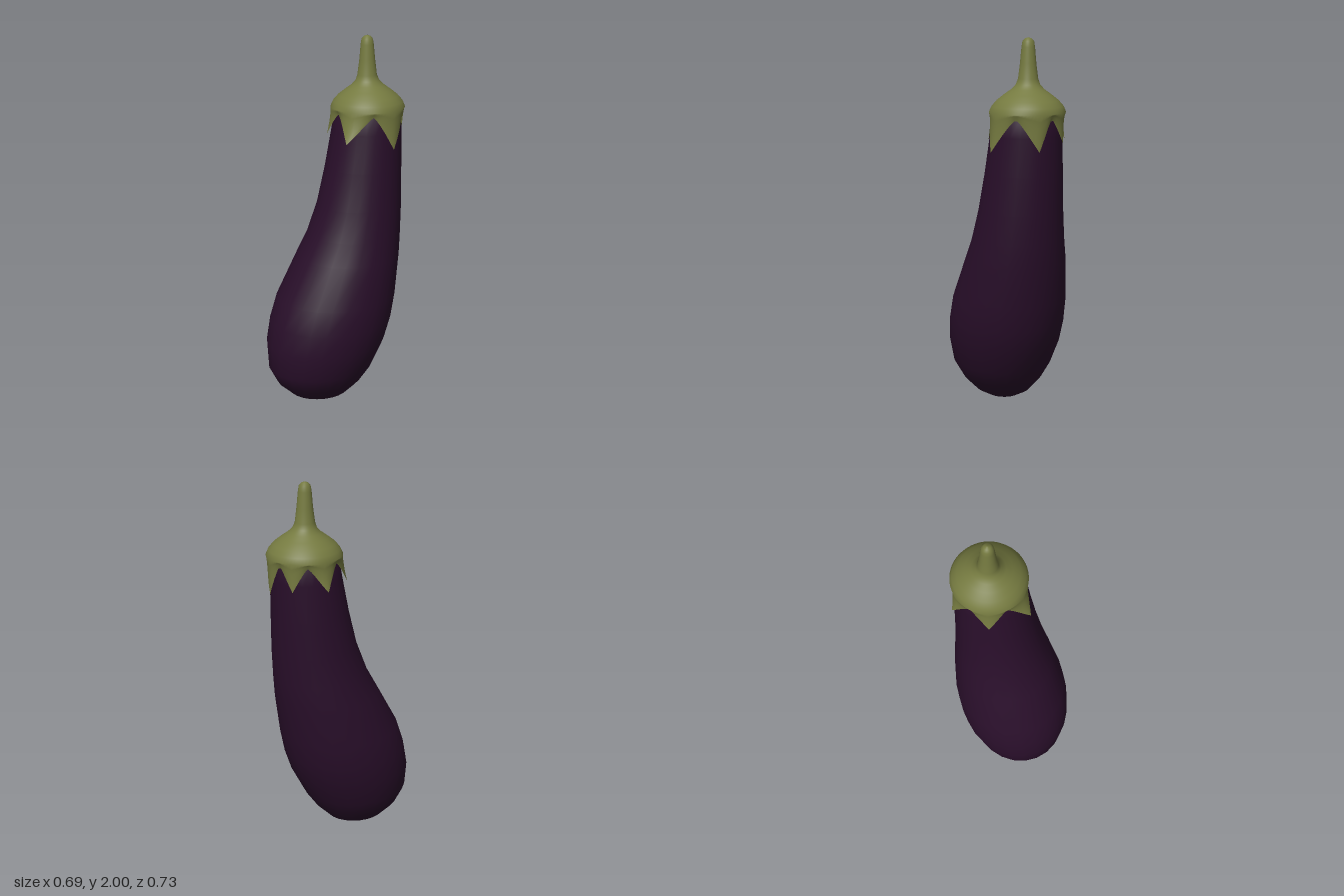
import * as THREE from 'three';

// Fruit sections: [height, centre x, centre z, radius]
const SECTIONS = [
  [0.003, -0.05, 0.065, 0.001], [0.02, -0.055, 0.068, 0.09], [0.05, -0.065, 0.075, 0.155],
  [0.12, -0.065, 0.08, 0.225], [0.21, -0.057, 0.077, 0.278], [0.35, -0.035, 0.052, 0.315],
  [0.47, -0.014, 0.028, 0.324], [0.6, 0.009, 0, 0.317], [0.82, 0.058, -0.06, 0.277],
  [0.94, 0.084, -0.088, 0.251], [1.1, 0.107, -0.115, 0.227], [1.3, 0.122, -0.139, 0.206],
  [1.5, 0.134, -0.157, 0.188], [1.6, 0.138, -0.164, 0.178], [1.66, 0.138, -0.167, 0.13],
  [1.7, 0.137, -0.167, 0.001],
];

// Cap and stem sections, in the same layout
const CAP = [
  [1.62, 0.138, -0.166, 0.199], [1.65, 0.138, -0.167, 0.186], [1.68, 0.138, -0.167, 0.16],
  [1.71, 0.138, -0.167, 0.122], [1.735, 0.137, -0.167, 0.087], [1.76, 0.135, -0.167, 0.063],
  [1.79, 0.133, -0.167, 0.052], [1.87, 0.133, -0.167, 0.042], [1.95, 0.132, -0.167, 0.035],
  [1.98, 0.132, -0.167, 0.03], [1.994, 0.132, -0.167, 0.018], [2, 0.132, -0.167, 0.001],
];

// Leaf tips round the cap: [angle in degrees, tip height, outward curl]
const TIPS = [[30, 1.42, 0.012], [100, 1.46, 0.04], [160, 1.47, 0.012],
  [220, 1.47, 0.025], [270, 1.47, 0.01], [315, 1.43, 0.008]];
const NOTCH = 1.595;

// Section at any height, interpolated
function sectionAt(y) {
  let i = 0;
  while (i < SECTIONS.length - 2 && SECTIONS[i + 1][0] < y) i++;
  const a = SECTIONS[i], b = SECTIONS[i + 1];
  const t = (y - a[0]) / (b[0] - a[0]);
  return a.map((v, k) => v + (b[k] - v) * t);
}

// Closed rings joined from the bottom up; point(row, angle) returns [x, y, z]
function loft(rows, cols, point) {
  const pos = [], index = [];
  for (let r = 0; r < rows; r++) {
    for (let c = 0; c < cols; c++) {
      pos.push(...point(r, (c / cols) * Math.PI * 2));
      if (r === rows - 1) continue;
      const a = r * cols + c, b = r * cols + (c + 1) % cols;
      index.push(a, a + cols, b, b, a + cols, b + cols);
    }
  }
  const geo = new THREE.BufferGeometry();
  geo.setAttribute('position', new THREE.Float32BufferAttribute(pos, 3));
  geo.setIndex(index);
  geo.computeVertexNormals();
  return geo;
}

// Lower edge of the leaves at an angle: [height, curl]
function leafEdge(angle) {
  const deg = THREE.MathUtils.radToDeg(angle);
  for (let i = 0; i < TIPS.length; i++) {
    const a = TIPS[i], b = TIPS[(i + 1) % TIPS.length];
    const span = (b[0] - a[0] + 360) % 360;
    const d = (deg - a[0] + 360.001) % 360;
    if (d > span) continue;
    const t = d / span, tip = t < 0.5 ? a : b;
    const k = Math.pow(Math.abs(1 - 2 * t), 1.25);
    return [NOTCH + (tip[1] - NOTCH) * k, tip[2] * k * k];
  }
  return [NOTCH, 0];
}

export function createModel() {
  const group = new THREE.Group();
  const purple = new THREE.MeshStandardMaterial({ color: 0x280e29 });
  purple.name = 'dark purple skin';
  const green = new THREE.MeshStandardMaterial({ color: 0x757a40, side: THREE.DoubleSide });
  green.name = 'olive green';

  // Fruit, slightly stretched along its lean near the bottom
  const fruit = new THREE.Mesh(loft(SECTIONS.length, 24, (r, a) => {
    const [y, cx, cz, radius] = SECTIONS[r];
    const e = 0.05 * THREE.MathUtils.clamp(1.4 - y, 0, 1);
    const along = radius * (1 + e) * Math.cos(a + Math.PI / 4);
    const across = radius * (1 - e) * Math.sin(a + Math.PI / 4);
    return [cx + (along + across) * Math.SQRT1_2, y, cz + (across - along) * Math.SQRT1_2];
  }), purple);
  fruit.name = 'fruit';
  group.add(fruit);

  // Cap with pointed leaves hugging the fruit, running up into the stem
  const leafRows = 5;
  const cap = new THREE.Mesh(loft(leafRows + CAP.length, 72, (r, a) => {
    let x, y, z, radius;
    if (r < leafRows) {
      const t = 1 - r / leafRows;
      const [low, curl] = leafEdge(a);
      y = CAP[0][0] + (low - CAP[0][0]) * t;
      const s = sectionAt(Math.min(y, 1.6));
      x = s[1]; z = s[2];
      radius = s[3] + 0.008 + 0.013 * (1 - t) + curl * t * t;
    } else {
      [y, x, z, radius] = CAP[r - leafRows];
    }
    return [x + radius * Math.cos(a), y, z + radius * Math.sin(a)];
  }), green);
  cap.name = 'leafyCapAndStem';
  group.add(cap);

  return group;
}
